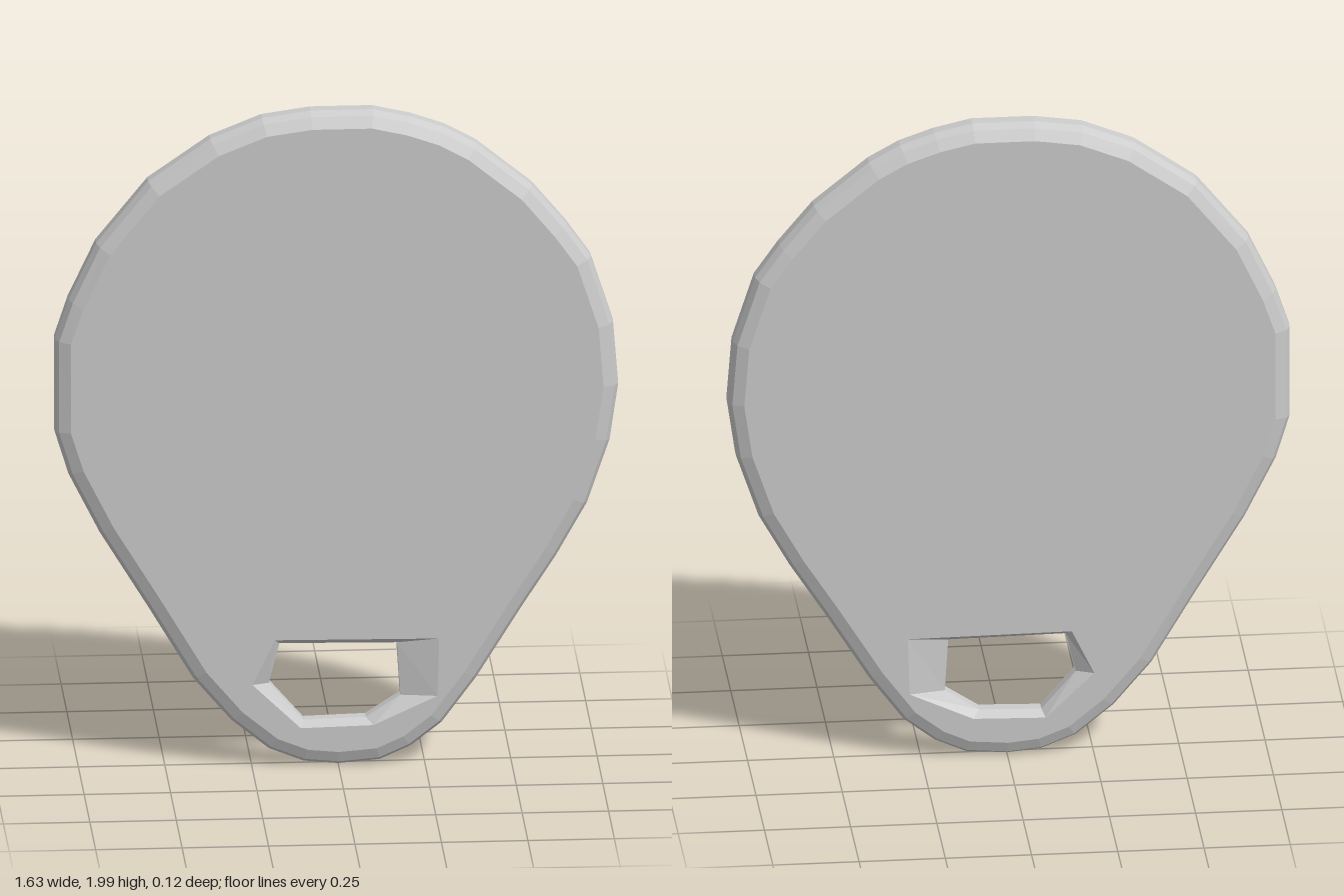
import * as THREE from 'three';

// silhouette, counter-clockwise from the keyring end
const outline = [
  [0, 0.01], [0.12, 0.02], [0.21, 0.06], [0.3, 0.13], [0.4, 0.265], [0.53, 0.475], [0.63, 0.63], [0.72, 0.79],
  [0.785, 0.98], [0.81, 1.15], [0.795, 1.34], [0.73, 1.54], [0.66, 1.64], [0.56, 1.76], [0.4, 1.89], [0.31, 1.94],
  [0.21, 1.975], [0.1, 2.0], [-0.08, 2.0], [-0.22, 1.98], [-0.37, 1.92], [-0.55, 1.795], [-0.7, 1.61],
  [-0.78, 1.44], [-0.82, 1.32], [-0.82, 1.04], [-0.78, 0.91], [-0.69, 0.73], [-0.55, 0.5], [-0.42, 0.28],
  [-0.31, 0.15], [-0.2, 0.06], [-0.1, 0.02],
].map(([x, y]) => new THREE.Vector2(x, y));

// keyring hole: wider at the faces than in the middle
const holeFace = [[-0.185, 0.4], [0.29, 0.395], [0.285, 0.22], [0.1, 0.135], [-0.11, 0.13], [-0.25, 0.265]]
  .map(([x, y]) => new THREE.Vector2(x, y));
const holeMiddle = [[-0.17, 0.38], [0.17, 0.375], [0.18, 0.215], [0.08, 0.15], [-0.1, 0.145], [-0.2, 0.26]]
  .map(([x, y]) => new THREE.Vector2(x, y));

// half thickness grows from the keyring end to the head
const halfDepth = (y) => 0.049 + 0.0065 * y;

// move each point of a loop inwards along its normal
function inset(loop, d) {
  return loop.map((p, i) => {
    const a = loop[(i + loop.length - 1) % loop.length];
    const b = loop[(i + 1) % loop.length];
    const t = b.clone().sub(a).normalize();
    return new THREE.Vector2(p.x - t.y * d, p.y + t.x * d);
  });
}

const place = (p, level) => [p.x, p.y, level * halfDepth(p.y)];

function toMesh(positions, name, material) {
  const geometry = new THREE.BufferGeometry();
  geometry.setAttribute('position', new THREE.Float32BufferAttribute(positions, 3));
  geometry.computeVertexNormals();
  const mesh = new THREE.Mesh(geometry, material);
  mesh.name = name;
  return mesh;
}

// join rings of { loop, level }, ordered from back to front
function wall(rings, name, material) {
  const positions = [];
  for (let r = 0; r < rings.length - 1; r++) {
    const low = rings[r], high = rings[r + 1];
    for (let i = 0; i < low.loop.length; i++) {
      const j = (i + 1) % low.loop.length;
      const a = place(low.loop[i], low.level), b = place(low.loop[j], low.level);
      const c = place(high.loop[j], high.level), d = place(high.loop[i], high.level);
      positions.push(...a, ...b, ...c, ...a, ...c, ...d);
    }
  }
  return toMesh(positions, name, material);
}

// flat face with the hole cut out
function face(loop, hole, side, name, material) {
  const points = [...loop, ...hole];
  const positions = [];
  for (const [a, b, c] of THREE.ShapeUtils.triangulateShape(loop, [hole])) {
    const order = side > 0 ? [a, b, c] : [a, c, b];
    order.forEach((k) => positions.push(...place(points[k], side)));
  }
  return toMesh(positions, name, material);
}

export function createModel() {
  const group = new THREE.Group();
  group.name = 'keyFob';
  const material = new THREE.MeshStandardMaterial({ color: 0xcccccc, flatShading: true });

  // rounded rim
  const steps = [[-1, 0.045], [-0.72, 0.012], [-0.3, 0], [0.3, 0], [0.72, 0.012], [1, 0.045]];
  const rim = steps.map(([level, d]) => ({ level, loop: inset(outline, d) }));
  group.add(wall(rim, 'rim', material));

  // sloping wall of the hole
  const hole = [[-1, holeFace], [-0.35, holeMiddle], [0.35, holeMiddle], [1, holeFace]]
    .map(([level, loop]) => ({ level, loop }));
  group.add(wall(hole, 'keyringHole', material));

  // front and back faces
  group.add(face(rim[0].loop, holeFace, 1, 'frontFace', material));
  group.add(face(rim[0].loop, holeFace, -1, 'backFace', material));
  return group;
}
